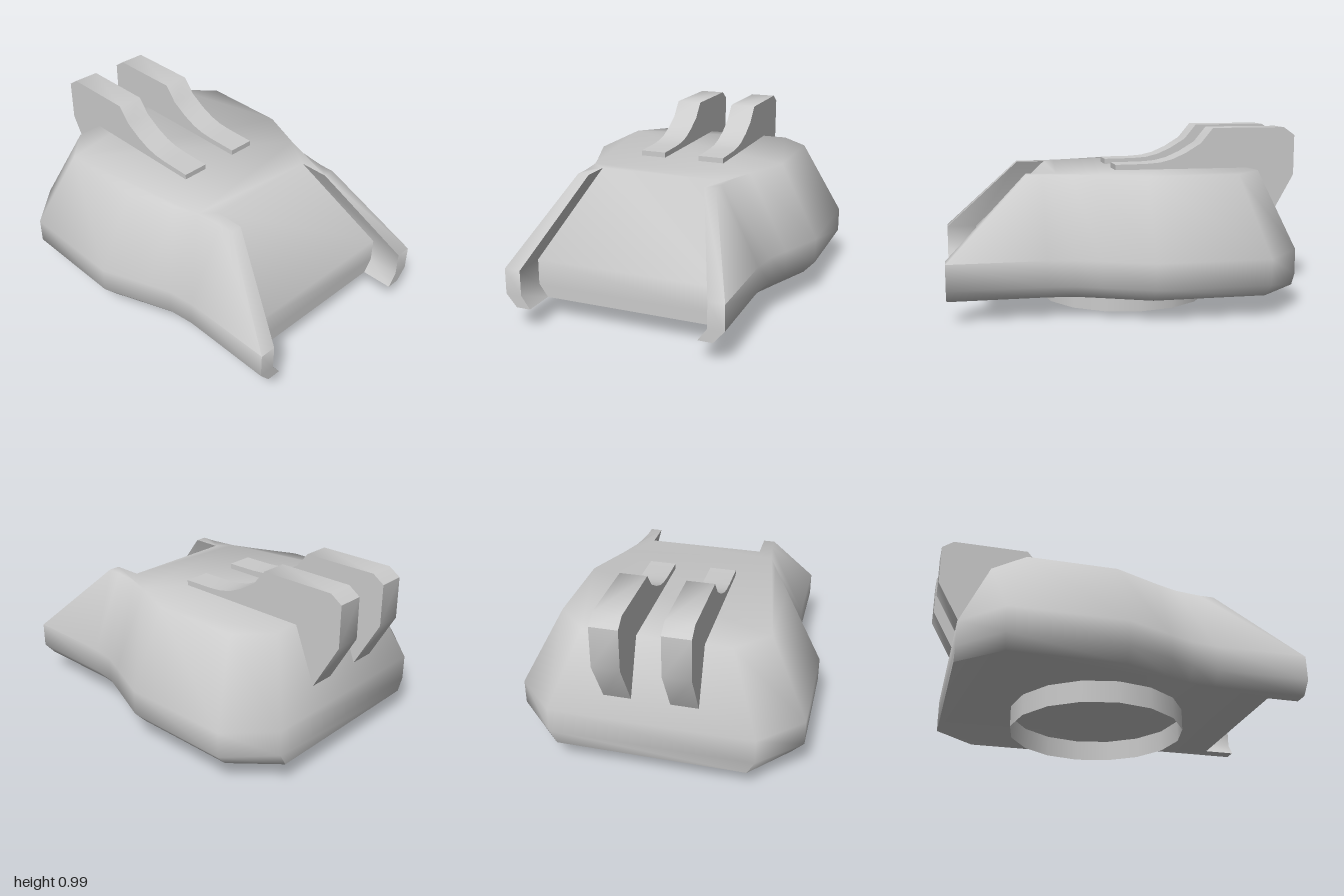
import * as THREE from 'three';
import { toCreasedNormals } from 'three/addons/utils/BufferGeometryUtils.js';

const grey = new THREE.MeshStandardMaterial({ color: 0xcccccc });
const greyDouble = new THREE.MeshStandardMaterial({ color: 0xcccccc, side: THREE.DoubleSide });

// Half outline, back to front: [bottom x, z, waist x, z, roof x, z]
const OUTLINE = [
  [0.52, -0.9, 0.56, -0.9, 0.40, -0.73],
  [0.72, -0.67, 0.785, -0.68, 0.57, -0.56],
  [0.72, -0.06, 0.785, -0.06, 0.57, -0.06],
  [0.615, 0.2, 0.68, 0.2, 0.465, 0.2],
  [0.565, 0.33, 0.63, 0.33, 0.42, 0.33],
  [0.55, 0.48, 0.61, 0.48, 0.40, 0.48],
  // cheek tip, then back into the front recess
  [0.55, 1, 0.61, 1, 0.40, 0.565],
  [0.47, 1, 0.52, 1, 0.335, 0.565],
  [0.47, 0.82, 0.52, 0.82, 0.335, 0.40],
];

// One closed ring of the hull at height y, mirrored across x
function ring(column, y) {
  const half = OUTLINE.map((p) => new THREE.Vector3(p[column], y, p[column + 1]));
  const mirrored = half.map((v) => new THREE.Vector3(-v.x, y, v.z)).reverse();
  return [...half, ...mirrored];
}

function hullGeometry() {
  const rings = [ring(0, 0.12), ring(2, 0.19), ring(2, 0.33), ring(4, 0.755)];
  const n = rings[0].length;
  const index = [];

  // Walls between neighbouring rings
  for (let r = 0; r < rings.length - 1; r++) {
    for (let i = 0; i < n; i++) {
      const j = (i + 1) % n;
      const a = r * n + i, b = r * n + j;
      index.push(a, a + n, b + n, a, b + n, b);
    }
  }

  // Underside and roof
  for (const [r, up] of [[0, false], [rings.length - 1, true]]) {
    const flat = rings[r].map((v) => new THREE.Vector2(v.x, v.z));
    for (const [a, b, c] of THREE.ShapeUtils.triangulateShape(flat.slice(), [])) {
      const cross = flat[b].clone().sub(flat[a]).cross(flat[c].clone().sub(flat[a]));
      const t = (cross < 0) === up ? [a, b, c] : [a, c, b];
      index.push(...t.map((k) => r * n + k));
    }
  }

  const geometry = new THREE.BufferGeometry().setFromPoints(rings.flat());
  geometry.setIndex(index);
  return toCreasedNormals(geometry, 1.25);
}

// Side profile of a roof fin as [z, y]
const FIN = [
  [0.055, 0.70], [0.055, 0.785], [-0.12, 0.787], [-0.20, 0.793], [-0.27, 0.81],
  [-0.35, 0.845], [-0.44, 0.9], [-0.51, 0.985], [-0.935, 0.985], [-1, 0.94],
  [-1, 0.71], [-0.85, 0.44], [-0.7, 0.44],
];

function finGeometry(width) {
  const shape = new THREE.Shape(FIN.map(([z, y]) => new THREE.Vector2(-z, y)));
  const geometry = new THREE.ExtrudeGeometry(shape, { depth: width, bevelEnabled: false });
  geometry.translate(0, 0, -width / 2).rotateY(Math.PI / 2);
  return toCreasedNormals(geometry, 0.9);
}

export function createModel() {
  const group = new THREE.Group();
  const add = (name, geometry, material = grey) => {
    const mesh = new THREE.Mesh(geometry, material);
    mesh.name = name;
    group.add(mesh);
    return mesh;
  };

  add('hull', hullGeometry());

  // Open mounting collar below the hull
  const collar = new THREE.CylinderGeometry(0.4925, 0.4925, 0.12, 16, 1, true);
  add('mountingRing', collar, greyDouble).position.set(0, 0.06, -0.037);

  // Pair of fins along the roof
  const fin = finGeometry(0.15);
  for (const side of [1, -1]) {
    add(side > 0 ? 'leftFin' : 'rightFin', fin).position.x = side * 0.18;
  }

  return group;
}
